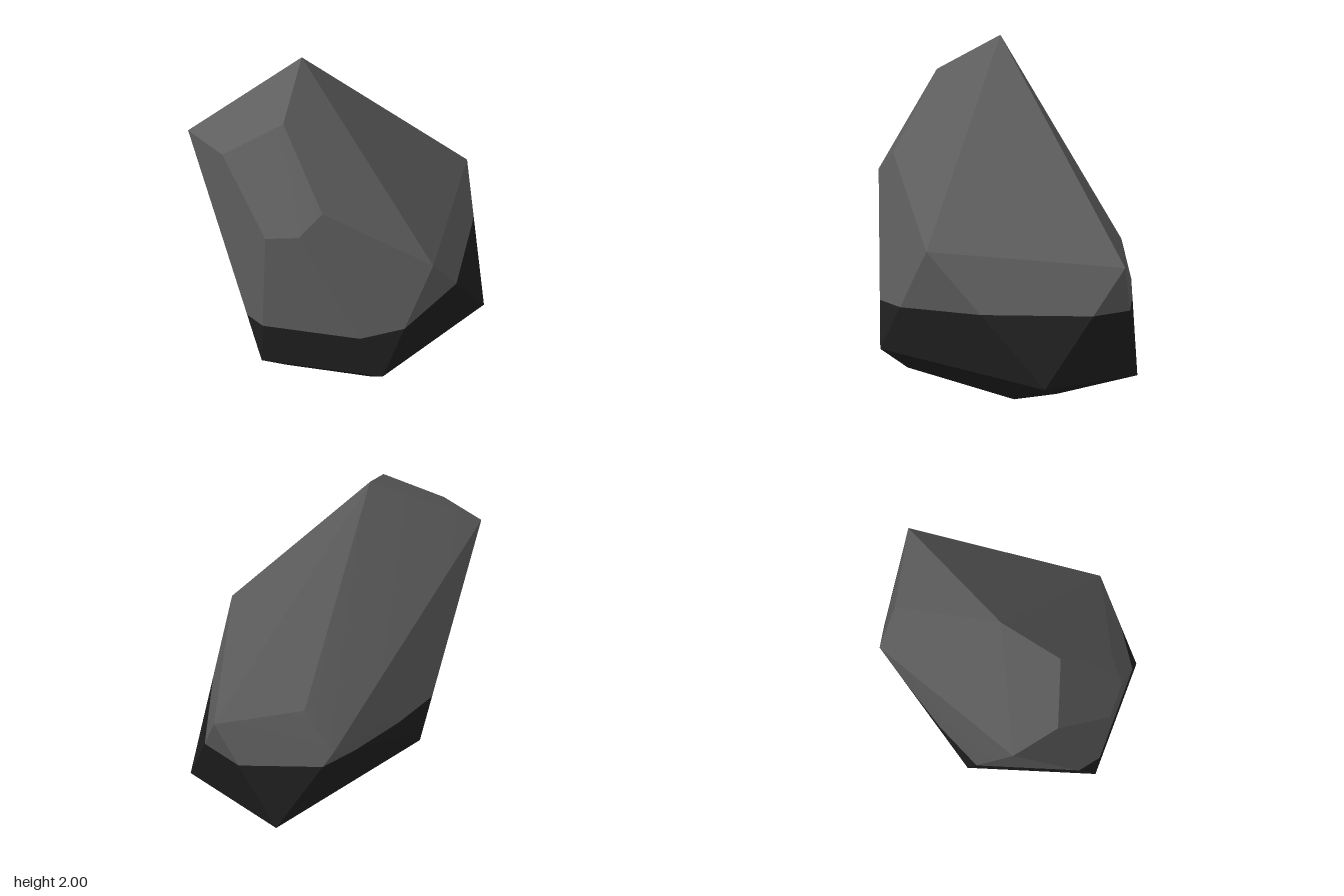
import * as THREE from 'three';
import { ConvexGeometry } from 'three/addons/geometries/ConvexGeometry.js';
import { toCreasedNormals } from 'three/addons/utils/BufferGeometryUtils.js';

// Corners of the boulder
const CORNERS = [
  // peak and upper front facets
  [-0.21, 2.0, 0.19], [-0.68, 1.59, 0.655], [-0.39, 1.59, 0.75], [-0.11, 1.79, 0.545],
  [-0.04, 1.195, 0.848], [0.145, 1.235, 0.785], [0.22, 1.35, 0.652],
  // shoulders and back
  [0.68, 0.885, 0.2], [0.245, 0.81, -0.848], [-0.2, 0.89, -0.59],
  [-0.37, 0.63, -0.565], [-0.5, 0.62, -0.08],
  // lower rim
  [-0.1, 0.28, 0.79], [-0.525, 0.28, 0.2], [0.565, 0.28, 0.555],
  [0.575, 0.13, -0.505], [-0.1, 0.13, -0.745],
  // underside
  [-0.05, 0.145, 0.595], [-0.33, 0.15, 0.2], [0.43, 0.16, 0.45],
  [0.37, 0.02, -0.2], [0, 0, -0.28],
];
const BAND_HEIGHT = 0.54;

// Keep the part of a surface above (side = 1) or below (side = -1) a height
function sliceSurface(geometry, height, side) {
  const pos = geometry.attributes.position, nor = geometry.attributes.normal;
  const points = [], normals = [];
  for (let t = 0; t < pos.count; t += 3) {
    const tri = [0, 1, 2].map((k) => ({
      p: new THREE.Vector3().fromBufferAttribute(pos, t + k),
      n: new THREE.Vector3().fromBufferAttribute(nor, t + k),
    }));
    const kept = [];
    tri.forEach((a, k) => {
      const b = tri[(k + 1) % 3];
      const da = (a.p.y - height) * side, db = (b.p.y - height) * side;
      if (da >= 0) kept.push(a);
      if (da * db < 0) {
        const f = da / (da - db);
        kept.push({ p: a.p.clone().lerp(b.p, f), n: a.n.clone().lerp(b.n, f).normalize() });
      }
    });
    for (let k = 1; k + 1 < kept.length; k++) {
      for (const v of [kept[0], kept[k], kept[k + 1]]) {
        points.push(...v.p.toArray());
        normals.push(...v.n.toArray());
      }
    }
  }
  const out = new THREE.BufferGeometry();
  out.setAttribute('position', new THREE.Float32BufferAttribute(points, 3));
  out.setAttribute('normal', new THREE.Float32BufferAttribute(normals, 3));
  return out;
}

export function createModel() {
  const stoneGrey = new THREE.MeshStandardMaterial({ color: 0x5e5e5e });
  stoneGrey.name = 'stone grey';
  const darkStone = new THREE.MeshStandardMaterial({ color: 0x1f1f1f });
  darkStone.name = 'dark stone';

  const hull = new ConvexGeometry(CORNERS.map((c) => new THREE.Vector3(...c)));
  const boulder = toCreasedNormals(hull, 0.35);

  const group = new THREE.Group();
  group.name = 'boulder';
  // Grey upper rock and dark base
  for (const [name, side, material] of [['upperRock', 1, stoneGrey], ['darkBase', -1, darkStone]]) {
    const mesh = new THREE.Mesh(sliceSurface(boulder, BAND_HEIGHT, side), material);
    mesh.name = name;
    group.add(mesh);
  }
  return group;
}
